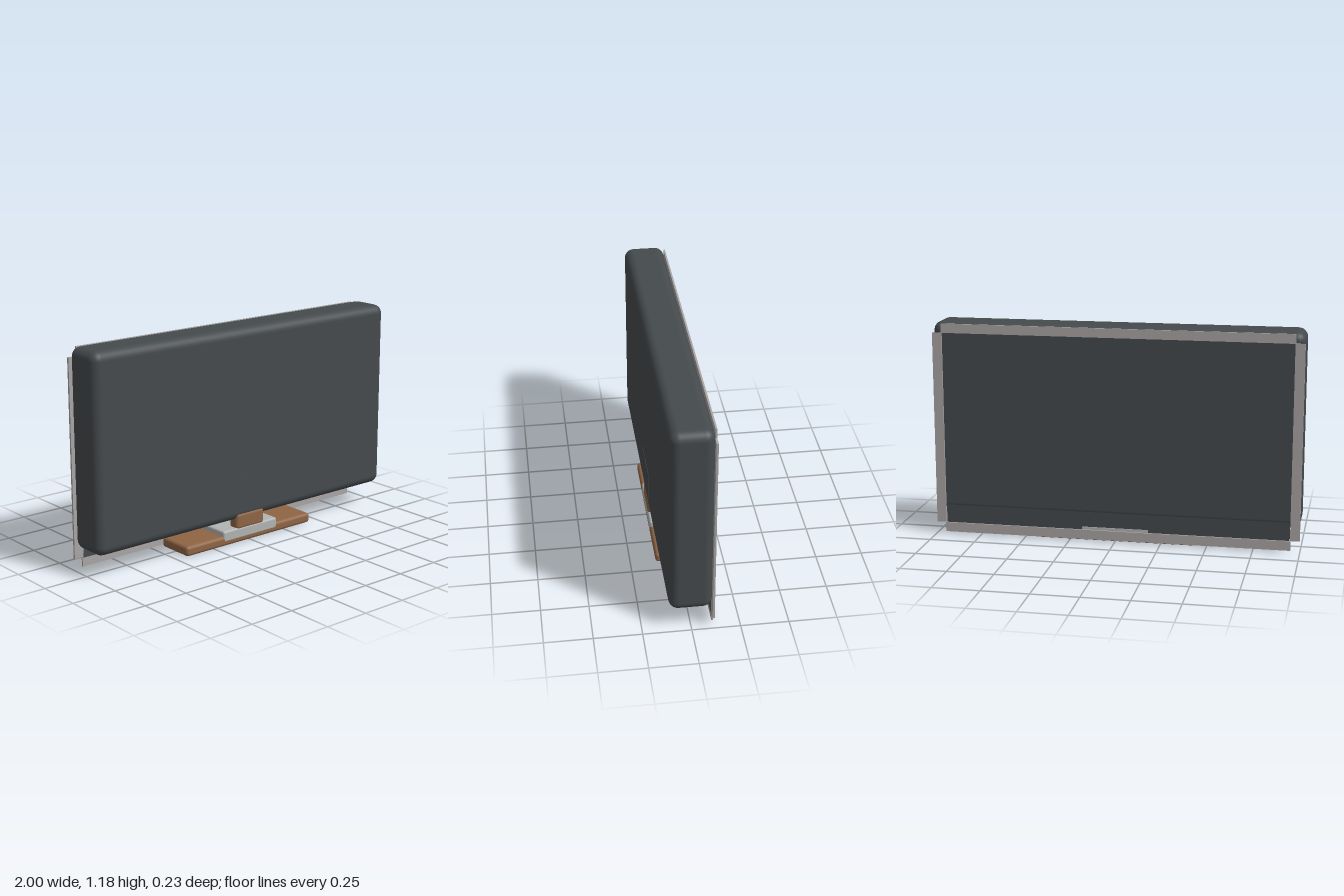
import * as THREE from 'three';
import { RoundedBoxGeometry } from 'three/addons/geometries/RoundedBoxGeometry.js';

const mat = (color) => new THREE.MeshStandardMaterial({ color });
const casing = mat(0x454a4d);
const wood = mat(0x8f6545);
const trim = mat(0xaaa6a4);
const metal = mat(0xb0b4b3);

export function createModel() {
  const model = new THREE.Group();

  // Box given by its extents; a radius rounds all its edges
  function box(name, material, [x0, x1], [y0, y1], [z0, z1], radius = 0) {
    const size = [x1 - x0, y1 - y0, z1 - z0];
    const geometry = radius
      ? new RoundedBoxGeometry(...size, 4, radius)
      : new THREE.BoxGeometry(...size);
    const mesh = new THREE.Mesh(geometry, material);
    mesh.name = name;
    mesh.position.set((x0 + x1) / 2, (y0 + y1) / 2, (z0 + z1) / 2);
    model.add(mesh);
  }

  // Thick rounded housing with a barely raised cover plate on the front
  box('housing', casing, [-1, 1], [0.125, 1.18], [-0.107, 0.115], 0.05);
  box('coverPlate', casing, [-0.13, 0.13], [0.19, 0.37], [0.1, 0.117]);

  // Thin screen sheet, showing below the housing
  box('screen', casing, [-0.945, 0.945], [0.06, 1.13], [-0.105, -0.103]);

  // Four bezel strips around the screen
  box('bezelTop', trim, [-0.95, 0.95], [1.122, 1.172], [-0.116, -0.107]);
  box('bezelBottom', trim, [-0.95, 0.95], [0.01, 0.062], [-0.116, -0.107]);
  for (const [name, x] of [['bezelLeft', 0.973], ['bezelRight', -0.973]]) {
    box(name, trim, [x - 0.026, x + 0.026], [0.064, 1.122], [-0.116, -0.105]);
  }

  // Stand: wooden foot, metal collar and wooden neck
  box('foot', wood, [-0.44, 0.44], [0, 0.056], [-0.104, 0.115], 0.018);
  box('collar', metal, [-0.19, 0.19], [0.022, 0.085], [-0.106, 0.116], 0.012);
  box('neck', wood, [-0.1, 0.1], [0.07, 0.168], [0.05, 0.1165], 0.022);

  return model;
}
